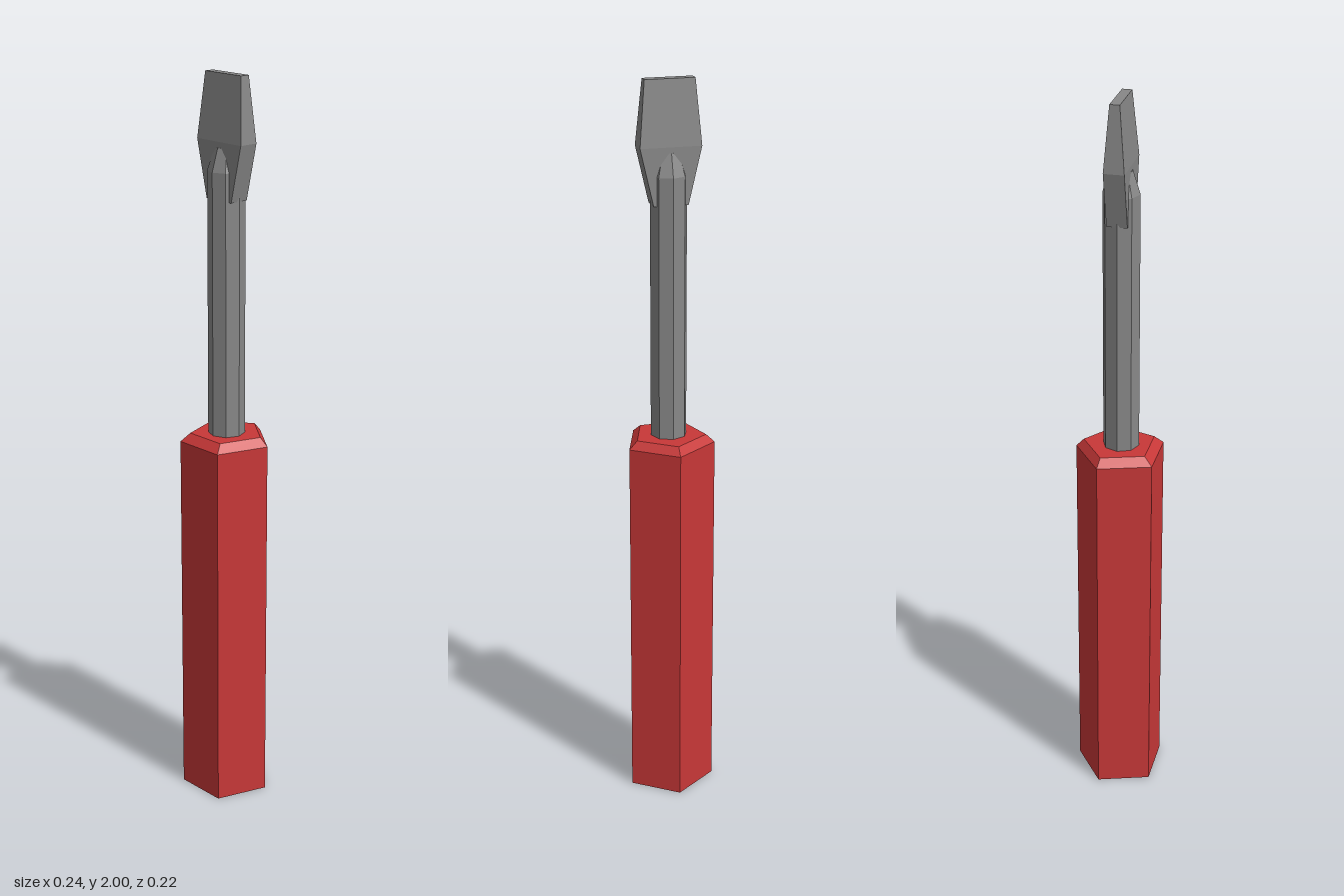
import * as THREE from 'three';

const CZ = 0.0117; // depth of the tool's long axis

// Regular polygon ring, counter-clockwise seen from above, starting at angle a0 from +z
function ngon(y, sides, r, a0 = 0, cz = CZ) {
  return Array.from({ length: sides }, (_, i) => {
    const a = a0 + (i / sides) * Math.PI * 2;
    return new THREE.Vector3(Math.sin(a) * r, y, cz + Math.cos(a) * r);
  });
}

// Rectangular ring with half-width w and half-depth d
function rect(y, w, d, cz) {
  return [[-w, d], [w, d], [w, -d], [-w, -d]].map(([x, z]) => new THREE.Vector3(x, y, cz + z));
}

// Faceted solid through a stack of rings from bottom to top, capped at both ends
function loft(name, rings, material) {
  const pts = [];
  const n = rings[0].length;
  for (let k = 0; k < rings.length - 1; k++) {
    const lo = rings[k], hi = rings[k + 1];
    for (let i = 0; i < n; i++) {
      const j = (i + 1) % n;
      pts.push(lo[i], lo[j], hi[j], lo[i], hi[j], hi[i]);
    }
  }
  const bottom = rings[0], top = rings[rings.length - 1];
  for (let i = 1; i < n - 1; i++) {
    pts.push(bottom[0], bottom[i + 1], bottom[i]);
    pts.push(top[0], top[i], top[i + 1]);
  }
  const geometry = new THREE.BufferGeometry().setFromPoints(pts);
  geometry.computeVertexNormals(); // unshared corners give flat facets
  const mesh = new THREE.Mesh(geometry, material);
  mesh.name = name;
  return mesh;
}

export function createModel() {
  const red = new THREE.MeshStandardMaterial({ color: 0xc83838 });
  red.name = 'red plastic';
  const steel = new THREE.MeshStandardMaterial({ color: 0x888888 });
  steel.name = 'grey steel';

  const model = new THREE.Group();
  model.name = 'screwdriver';

  // Five-sided handle with a bevelled top
  model.add(loft('handle', [
    ngon(0, 5, 0.124, Math.PI),
    ngon(1.028, 5, 0.124, Math.PI),
    ngon(1.05, 5, 0.1, Math.PI, 0.0085),
  ], red));

  // Eight-sided shaft, tapering into the blade
  model.add(loft('shaft', [
    ngon(1.04, 8, 0.049),
    ngon(1.755, 8, 0.049),
    ngon(1.815, 8, 0.03),
  ], steel));

  // Flat blade: flares out, then narrows and thins to the tip
  model.add(loft('blade', [
    rect(1.68, 0.046, 0.027, 0.011),
    rect(1.83, 0.081, 0.027, 0.011),
    rect(2, 0.066, 0.013, 0.01),
  ], steel));

  return model;
}
